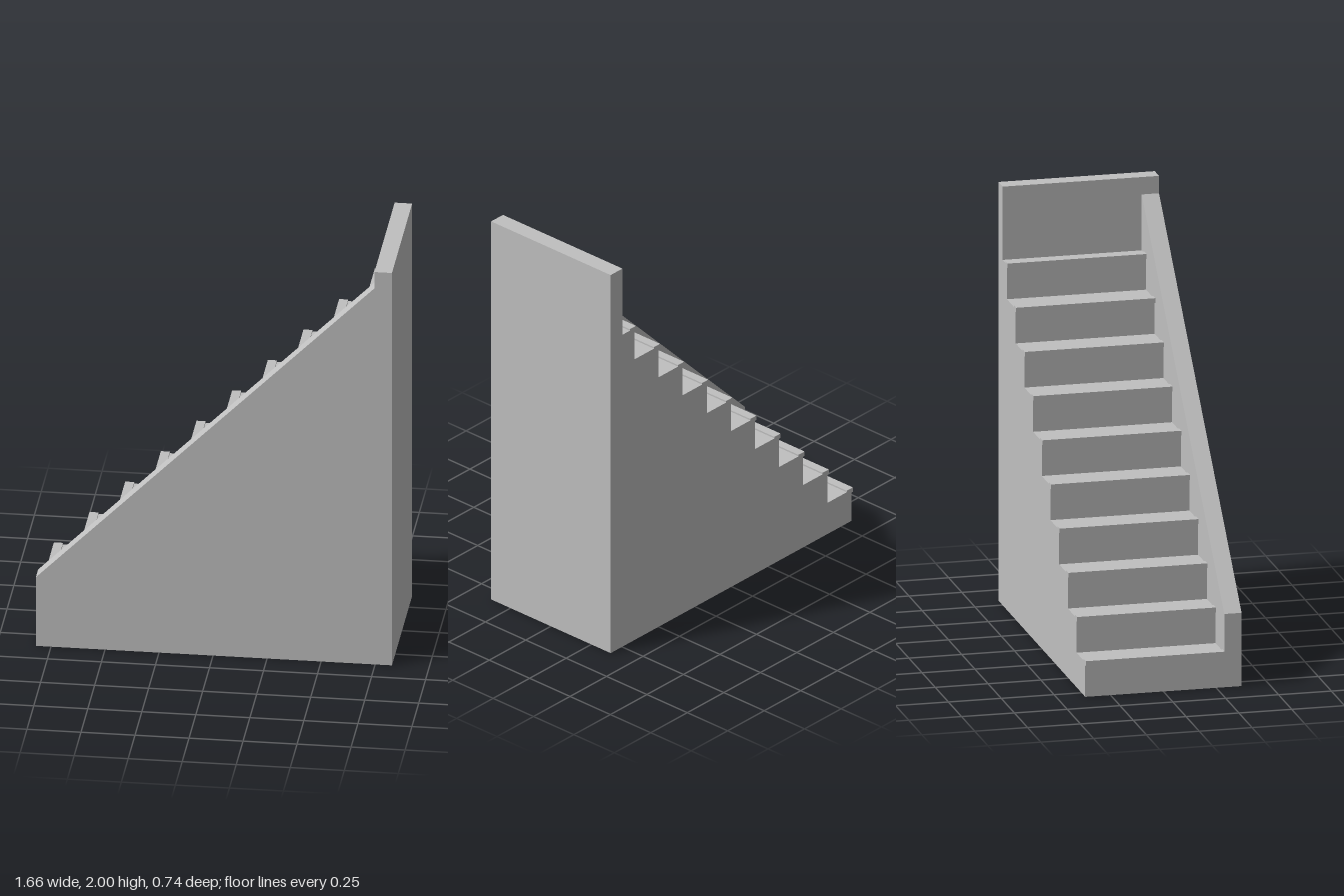
import * as THREE from 'three';

const STEPS = 10, RUN = 0.165, RISE = 0.165;
const X0 = -0.82, X_WALL = 0.747, X1 = 0.828;      // first riser, back wall inner and outer faces
const Z_BACK = -0.37, Z_SIDE = 0.288, Z_FRONT = 0.37; // open side, side wall inner and outer faces

export function createModel() {
  const group = new THREE.Group();
  group.name = 'staircase';
  const grey = new THREE.MeshStandardMaterial({ color: 0xc0c0c0 });
  grey.name = 'plain grey';

  // Extrudes an x-y outline between two z positions
  function slab(name, points, z0, z1) {
    const shape = new THREE.Shape(points.map(([x, y]) => new THREE.Vector2(x, y)));
    const geometry = new THREE.ExtrudeGeometry(shape, { depth: z1 - z0, bevelEnabled: false });
    geometry.translate(0, 0, z0);
    const mesh = new THREE.Mesh(geometry, grey);
    mesh.name = name;
    group.add(mesh);
  }

  // Solid flight with a raised, overhanging nosing on every tread
  const outline = [[X_WALL, 0], [X0, 0]];
  for (let i = 0; i < STEPS; i++) {
    const x = X0 + i * RUN, y = (i + 1) * RISE;
    outline.push(
      [x, y - 0.015], [x - 0.01, y - 0.015], [x - 0.01, y + 0.008],
      [x + 0.032, y + 0.008], [x + 0.032, y],
      [i < STEPS - 1 ? x + RUN : X_WALL, y],
    );
  }
  slab('steps', outline, Z_BACK, Z_SIDE);

  // Sloping side wall along the front
  slab('sideWall', [[X0, 0], [X_WALL, 0], [X_WALL, 1.917], [X0, 0.35]], Z_SIDE, Z_FRONT);

  // Tall end wall behind the top step
  slab('endWall', [[X_WALL, 0], [X1, 0], [X1, 2], [X_WALL, 2]], Z_BACK, Z_FRONT);

  return group;
}
